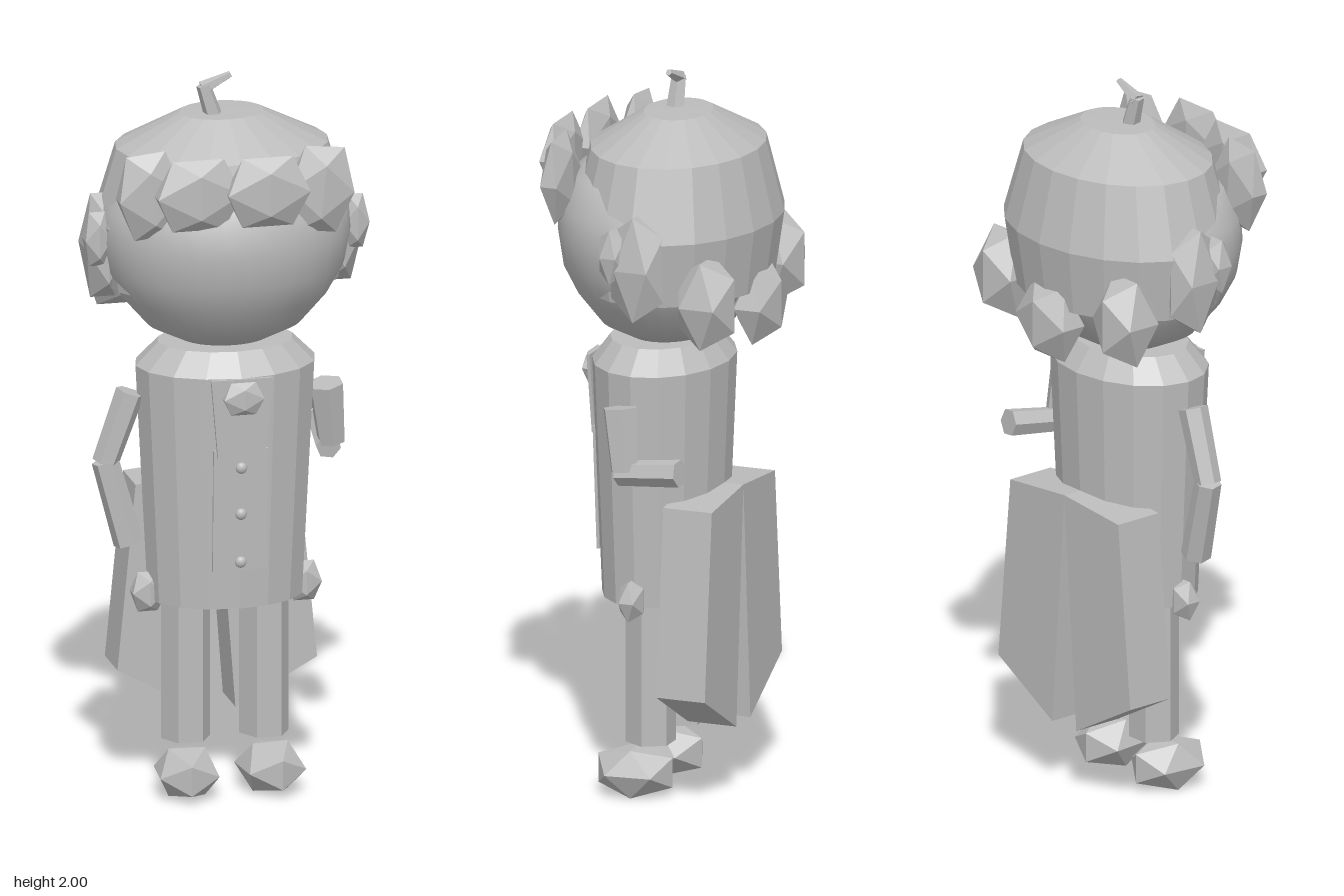
import * as THREE from 'three';

export function createModel() {
  const root = new THREE.Group();
  root.name = 'figure';
  const clay = new THREE.MeshStandardMaterial({ color: 0xbcbcbc });
  clay.name = 'light grey';

  const add = (name, geo) => {
    const m = new THREE.Mesh(geo, clay);
    m.name = name;
    root.add(m);
    return m;
  };
  // split shared corners so every face is flat
  const facet = (geo) => {
    const g = geo.index ? geo.toNonIndexed() : geo;
    g.computeVertexNormals();
    return g;
  };
  const lathe = (pts, sides, depth, z) =>
    new THREE.LatheGeometry(pts.map((p) => new THREE.Vector2(...p)), sides)
      .scale(1, 1, depth).translate(0, 0, z);
  // faceted lump from its centre and half sizes
  const lump = (name, c, r, tilt = 0, turn = 0) => {
    const k = 0.851;
    const g = new THREE.IcosahedronGeometry(1, 0).scale(r[0] / k, r[1] / k, r[2] / k);
    g.rotateZ(tilt).rotateY(turn).translate(...c);
    return add(name, facet(g));
  };
  // tapered limb between two points
  const limb = (name, a, b, ra, rb, sides = 6) => {
    const A = new THREE.Vector3(...a), B = new THREE.Vector3(...b);
    const d = B.clone().sub(A);
    const g = new THREE.CylinderGeometry(rb, ra, d.length(), sides).rotateY(Math.PI / 6);
    g.applyQuaternion(new THREE.Quaternion().setFromUnitVectors(
      new THREE.Vector3(0, 1, 0), d.normalize()));
    const c = A.add(B).multiplyScalar(0.5);
    return add(name, facet(g.translate(c.x, c.y, c.z)));
  };
  // slab with a front outline, extruded in z
  const slab = (name, pts, z, depth) => {
    const s = new THREE.Shape(pts.map((p) => new THREE.Vector2(...p)));
    return add(name, new THREE.ExtrudeGeometry(s, { depth, bevelEnabled: false }).translate(0, 0, z));
  };

  // head: smooth face under a faceted cap of hair
  add('face', lathe([[0, 1.262], [0.12, 1.266], [0.21, 1.31], [0.28, 1.39], [0.325, 1.47],
    [0.341, 1.56], [0.335, 1.64], [0.29, 1.72], [0.2, 1.78], [0, 1.8]], 32, 0.85, 0));
  add('hairCap', facet(lathe([[0, 1.42], [0.318, 1.42], [0.35, 1.6], [0.29, 1.797],
    [0.115, 1.885], [0, 1.887]], 20, 0.785, -0.028)));

  // bent stem on the crown
  limb('stemLower', [-0.025, 1.87, -0.008], [-0.055, 1.965, -0.008], 0.026, 0.02, 5);
  limb('stemUpper', [-0.058, 1.955, -0.008], [0.02, 1.99, -0.008], 0.02, 0.009, 5);

  // fringe
  lump('fringe', [-0.25, 1.725, 0.185], [0.088, 0.118, 0.04], 0.1);
  lump('fringe', [-0.135, 1.74, 0.26], [0.115, 0.098, 0.036]);
  lump('fringe', [0.05, 1.745, 0.286], [0.113, 0.096, 0.036]);
  lump('fringe', [0.21, 1.725, 0.228], [0.088, 0.118, 0.038], -0.1);

  // nape and side curls
  lump('napeCurl', [0, 1.375, -0.265], [0.1, 0.105, 0.06]);
  for (const s of [-1, 1]) {
    lump('backCurl', [s * 0.25, 1.43, -0.21], [0.078, 0.12, 0.08]);
    lump('sideCurl', [s * 0.355, 1.565, 0.02], [0.036, 0.075, 0.036]);
    lump('earCurl', [s * 0.325, 1.53, -0.04], [0.055, 0.145, 0.075]);
  }

  // coat
  add('coat', facet(lathe([[0, 0.55], [0.213, 0.55], [0.247, 1.2], [0.185, 1.262], [0, 1.262]],
    16, 0.75, 0.012)));
  const placket = slab('placket', [[-0.075, -0.17], [0.075, -0.17], [0.075, 0.17], [-0.075, 0.17]], 0, 0.008);
  placket.position.set(0, 0.83, 0.176);
  placket.rotation.x = 0.035;
  const bib = slab('bib', [[-0.065, -0.11], [0.065, -0.11], [0.085, 0.11], [-0.085, 0.11]], 0, 0.009);
  bib.position.set(0, 1.09, 0.191);
  bib.rotation.x = 0.035;
  lump('brooch', [0, 1.15, 0.218], [0.055, 0.045, 0.018]);
  for (const y of [0.95, 0.82, 0.685]) {
    const b = add('button', new THREE.SphereGeometry(0.016, 10, 8));
    b.position.set(0, y, 0.195 - (0.95 - y) * 0.03);
    b.scale.z = 0.7;
  }

  // coat tails
  for (const s of [-1, 1]) {
    const pts = [[0, 0.86], [0.05, 0.2], [0.275, 0.325], [0.225, 0.84]].map(([x, y]) => [s * x, y]);
    slab('coatTail', pts, -0.215, 0.14);
  }

  // right arm hangs, left arm bends back
  limb('rightUpperArm', [-0.262, 1.13, 0.015], [-0.33, 0.935, 0.01], 0.04, 0.036);
  limb('rightForearm', [-0.33, 0.94, 0.01], [-0.268, 0.71, 0.02], 0.037, 0.041);
  limb('leftUpperArm', [0.272, 1.12, 0.03], [0.293, 0.95, 0.01], 0.05, 0.038);
  limb('leftForearm', [0.28, 0.94, 0.03], [0.305, 0.965, -0.155], 0.034, 0.038);

  // hip lumps, legs and shoes
  for (const s of [-1, 1]) {
    lump('hipLump', [s * 0.215, 0.57, 0.02], [0.045, 0.055, 0.033]);
    limb('leg', [s * 0.108, 0.153, 0.008], [s * 0.108, 0.6, 0.008], 0.068, 0.068);
    lump('shoe', [s * 0.115, 0.068, 0.05], [0.08, 0.066, 0.103], 0, s * 0.1);
  }
  return root;
}
